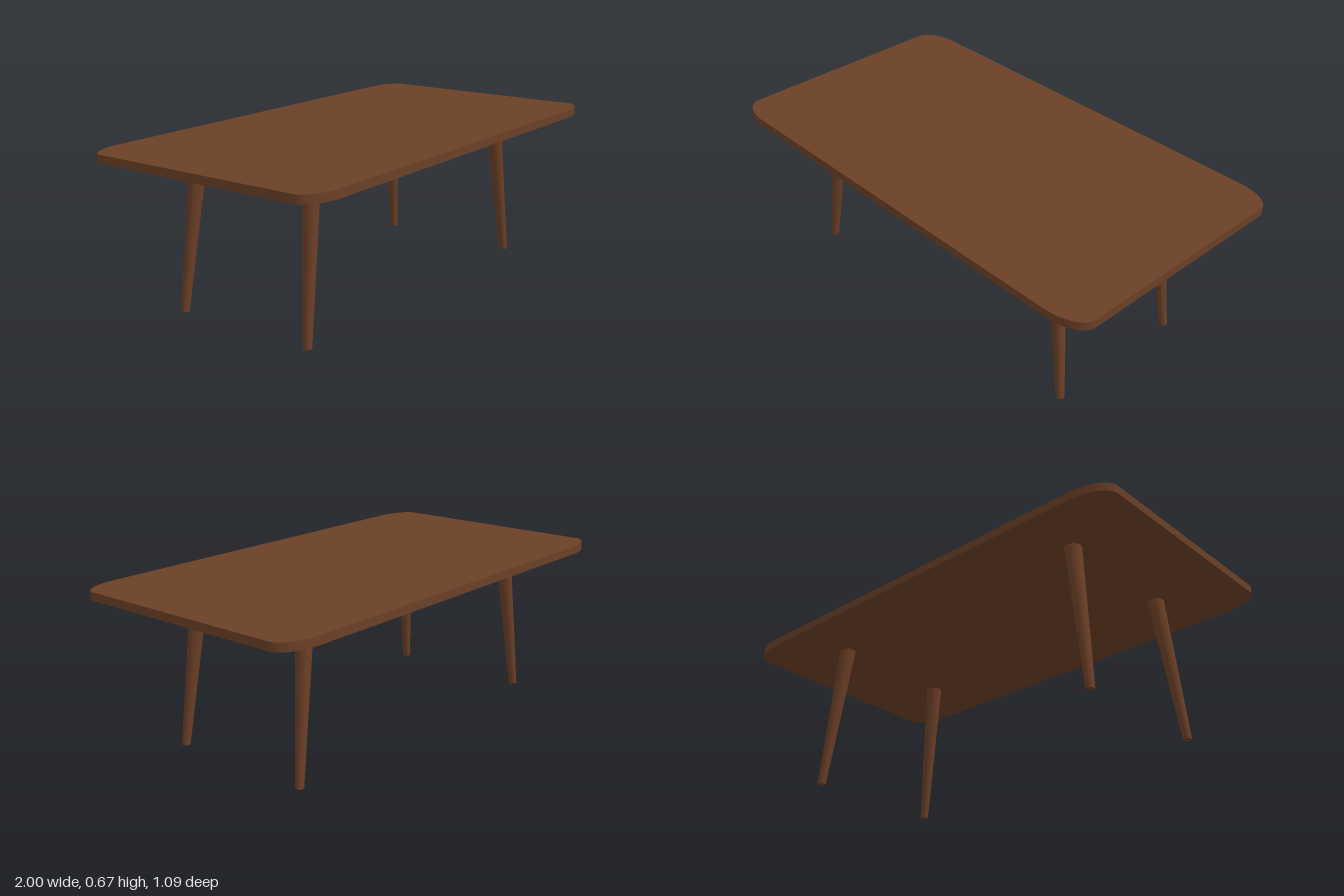
import * as THREE from 'three';
import { toCreasedNormals } from 'three/addons/utils/BufferGeometryUtils.js';

const TOP_Y = 0.667, UNDER_Y = 0.633;

// Slab with elliptical corners
function makeTop(material) {
  const hx = 1, hz = 0.546, rx = 0.16, rz = 0.085;
  const shape = new THREE.Shape();
  const corners = [[1, 1], [-1, 1], [-1, -1], [1, -1]];
  corners.forEach(([sx, sz], i) => {
    const start = i * Math.PI / 2;
    shape.absellipse(sx * (hx - rx), sz * (hz - rz), rx, rz, start, start + Math.PI / 2, false, 0);
  });
  const geometry = new THREE.ExtrudeGeometry(shape, {
    depth: TOP_Y - UNDER_Y, bevelEnabled: false, curveSegments: 12,
  });
  geometry.rotateX(-Math.PI / 2).translate(0, UNDER_Y, 0);
  const mesh = new THREE.Mesh(toCreasedNormals(geometry, 0.6), material);
  mesh.name = 'tableTop';
  return mesh;
}

// Tapered round leg, sheared outwards so its foot stays flat on the floor
function makeLeg(sx, sz, material) {
  const height = UNDER_Y + 0.004;
  const geometry = new THREE.CylinderGeometry(0.035, 0.0175, height, 24);
  geometry.translate(0, height / 2, 0);
  const shear = new THREE.Matrix4().set(
    1, -sx * 0.079 / height, 0, 0,
    0, 1, 0, 0,
    0, -sz * 0.034 / height, 1, 0,
    0, 0, 0, 1,
  );
  geometry.applyMatrix4(shear);
  const mesh = new THREE.Mesh(geometry, material);
  mesh.position.set(sx * 0.731 - 0.011, 0, sz * 0.313 - 0.009);
  mesh.name = (sz > 0 ? 'front' : 'back') + (sx > 0 ? 'Left' : 'Right') + 'Leg';
  return mesh;
}

export function createModel() {
  const wood = new THREE.MeshStandardMaterial({ color: 0x6b3f26 });
  wood.name = 'walnut wood';

  const table = new THREE.Group();
  table.name = 'coffeeTable';
  table.add(makeTop(wood));
  for (const sx of [-1, 1]) {
    for (const sz of [-1, 1]) table.add(makeLeg(sx, sz, wood));
  }
  return table;
}
